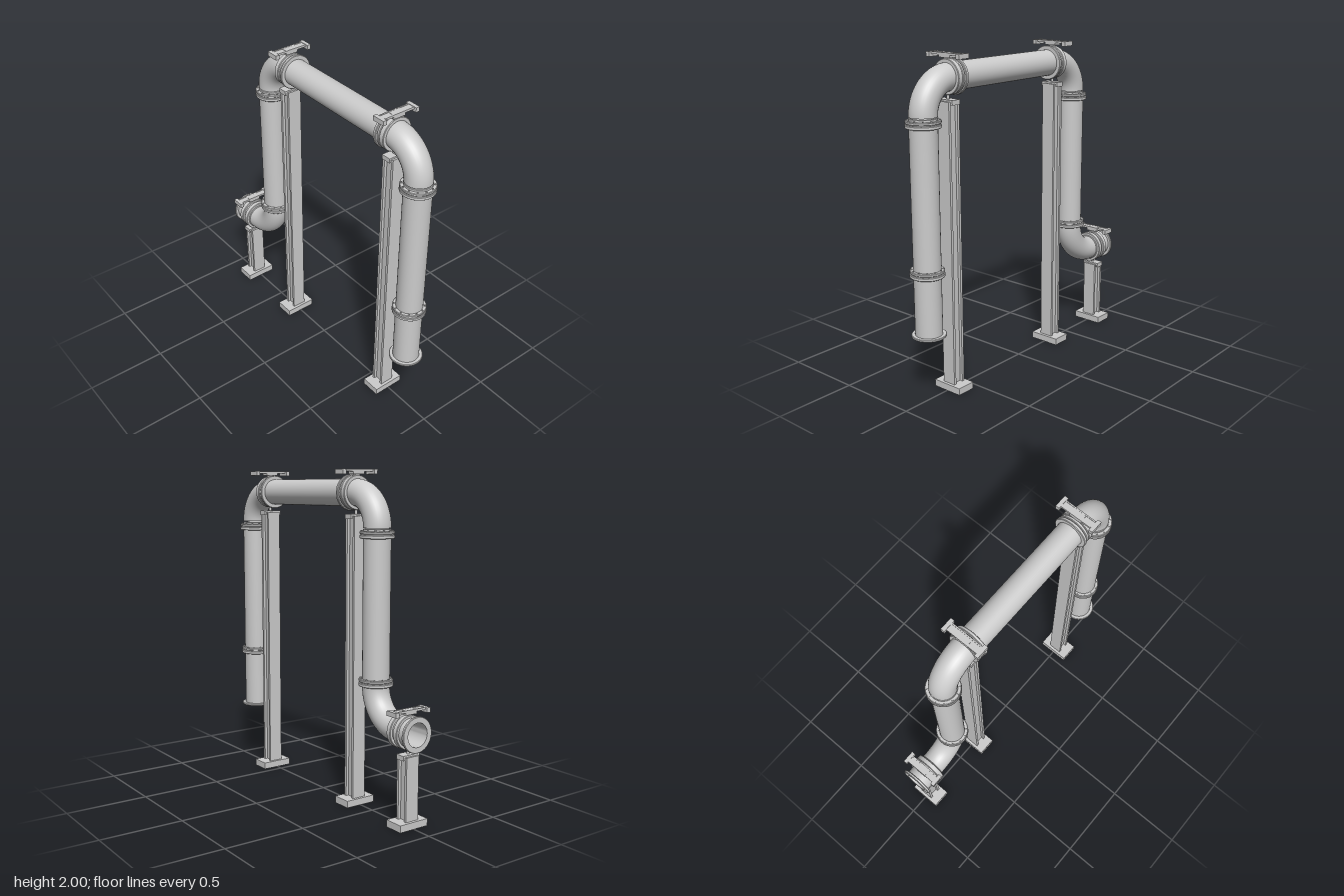
import * as THREE from 'three';
import { toCreasedNormals } from 'three/addons/utils/BufferGeometryUtils.js';

const R = 0.08, INNER = 0.07, TOP = 1.867, LOW = 0.549;
const FRONT_Z = 0.8, REAR_Z = -0.523;

export function createModel() {
  const model = new THREE.Group();
  const material = new THREE.MeshStandardMaterial({ color: 0xcccccc });
  const thin = new THREE.MeshStandardMaterial({ color: 0xcccccc, side: THREE.DoubleSide });

  const add = (parent, name, geometry, x = 0, y = 0, z = 0, mat = material) => {
    const mesh = new THREE.Mesh(geometry, mat);
    mesh.name = name;
    mesh.position.set(x, y, z);
    parent.add(mesh);
    return mesh;
  };
  const box = (parent, name, w, h, d, x, y, z) =>
    add(parent, name, new THREE.BoxGeometry(w, h, d), x, y, z);

  // Hollow ring between two positions along its axis, with small chamfers
  const sleeve = (inner, outer, a, b, bevel = 0.003) => {
    const pts = [[inner, a], [outer - bevel, a], [outer, a + bevel], [outer, b - bevel],
      [outer - bevel, b], [inner, b], [inner, a]].map(p => new THREE.Vector2(...p));
    return toCreasedNormals(new THREE.LatheGeometry(pts, 48), 0.6);
  };
  const upright = (name, inner, outer, a, b, z) =>
    add(model, name, sleeve(inner, outer, a, b), 0, 0, z);
  const level = (name, inner, outer, a, b, y) => {
    add(model, name, sleeve(inner, outer, a, b), 0, y, 0).rotation.x = Math.PI / 2;
  };

  // Straight pipe runs
  upright('frontLowerPipe', INNER, R, 0.4, 0.785, FRONT_Z);
  upright('frontUpperPipe', INNER, R, 0.785, TOP - 0.2, FRONT_Z);
  upright('rearPipe', INNER, R, 0.764, TOP - 0.2, REAR_Z);
  level('topPipe', INNER, R, -0.327, 0.605, TOP);
  level('outletPipe', INNER, R + 0.004, -0.89, -0.738, LOW);

  // Quarter bends
  const bend = r => new THREE.TorusGeometry(r, R, 32, 28, Math.PI / 2);
  add(model, 'frontElbow', bend(0.195).rotateY(-Math.PI / 2), 0, TOP - 0.195, 0.605, thin);
  add(model, 'rearElbow', bend(0.196).rotateY(Math.PI / 2), 0, TOP - 0.196, -0.327, thin);
  add(model, 'lowerElbow', bend(0.215).rotateZ(-Math.PI / 2).rotateY(-Math.PI / 2),
    0, LOW + 0.215, REAR_Z - 0.215, thin);

  // Bolted joints on the upright runs
  const bolt = new THREE.CylinderGeometry(0.005, 0.005, 0.008, 6);
  const joint = (y, z) => {
    upright('jointLowerFlange', INNER, 0.101, y - 0.021, y - 0.001, z);
    upright('jointGasket', INNER, 0.095, y - 0.003, y + 0.007, z);
    upright('jointUpperFlange', INNER, 0.1, y + 0.005, y + 0.02, z);
    for (let i = 0; i < 12; i++) {
      const a = (i + 0.5) * Math.PI / 6;
      add(model, 'jointBolt', bolt, 0.09 * Math.cos(a), y + 0.022, z + 0.09 * Math.sin(a));
    }
  };
  joint(0.785, FRONT_Z);
  joint(1.633, FRONT_Z);
  joint(0.785, REAR_Z);
  joint(1.633, REAR_Z);

  // Open end rims and joints on the level runs
  upright('inletRim', INNER, 0.102, 0.4, 0.414, FRONT_Z);
  level('outletRim', INNER, 0.104, -0.894, -0.877, LOW);
  level('outletFlange', INNER, 0.101, -0.777, -0.745, LOW);
  for (const [z, s] of [[0.605, -1], [-0.327, 1]]) {
    for (const [near, far, r] of [[0.018, 0.036, 0.1], [0.041, 0.06, 0.105]]) {
      const ends = [z + s * near, z + s * far].sort((a, b) => a - b);
      level('topPipeFlange', INNER, r, ends[0], ends[1], TOP);
    }
  }

  // Post cross-section: two broad faces joined by a recessed web
  const post = new THREE.Shape();
  const half = [[0.044, 0.042], [0.044, 0.026], [0.026, 0.026], [0.026, -0.026],
    [0.044, -0.026], [0.044, -0.042]];
  const outline = [...half, ...half.map(([x, z]) => [-x, -z])];
  post.setFromPoints(outline.map(p => new THREE.Vector2(...p)));

  // Post with its foot, cradle, clamp and top bracket
  const support = (name, pipeY, z) => {
    const g = new THREE.Group();
    g.name = name;
    g.position.z = z;
    model.add(g);
    const top = pipeY - 0.122;
    box(g, 'footPlate', 0.2, 0.042, 0.12, 0, 0.021, 0);
    add(g, 'post', new THREE.ExtrudeGeometry(post, { depth: top - 0.05, bevelEnabled: false })
      .rotateX(-Math.PI / 2), 0, 0.04, 0);
    box(g, 'postCap', 0.11, 0.012, 0.06, 0, top - 0.006, 0);
    for (const s of [-1, 1]) box(g, 'postCapLip', 0.012, 0.028, 0.06, s * 0.054, top - 0.014, 0);
    add(g, 'hangerRod', new THREE.CylinderGeometry(0.009, 0.009, 0.05, 12), 0, pipeY - 0.11, 0);
    add(g, 'clampRing', sleeve(0.079, 0.1, -0.016, 0.016), 0, pipeY, 0).rotation.x = Math.PI / 2;
    box(g, 'clampStem', 0.03, 0.04, 0.026, 0, pipeY + 0.106, 0);
    box(g, 'bracketBar', 0.24, 0.01, 0.05, 0, pipeY + 0.125, 0);
    box(g, 'bracketBlock', 0.08, 0.026, 0.05, 0, pipeY + 0.119, 0);
    for (const s of [-1, 1]) {
      box(g, 'bracketRail', 0.2, 0.012, 0.008, 0, pipeY + 0.127, s * 0.021);
      box(g, 'bracketEnd', 0.024, 0.028, 0.08, s * 0.113, pipeY + 0.119, 0);
    }
  };
  support('frontSupport', TOP, 0.605);
  support('middleSupport', TOP, -0.327);
  support('rearSupport', LOW, -0.815);

  return model;
}
